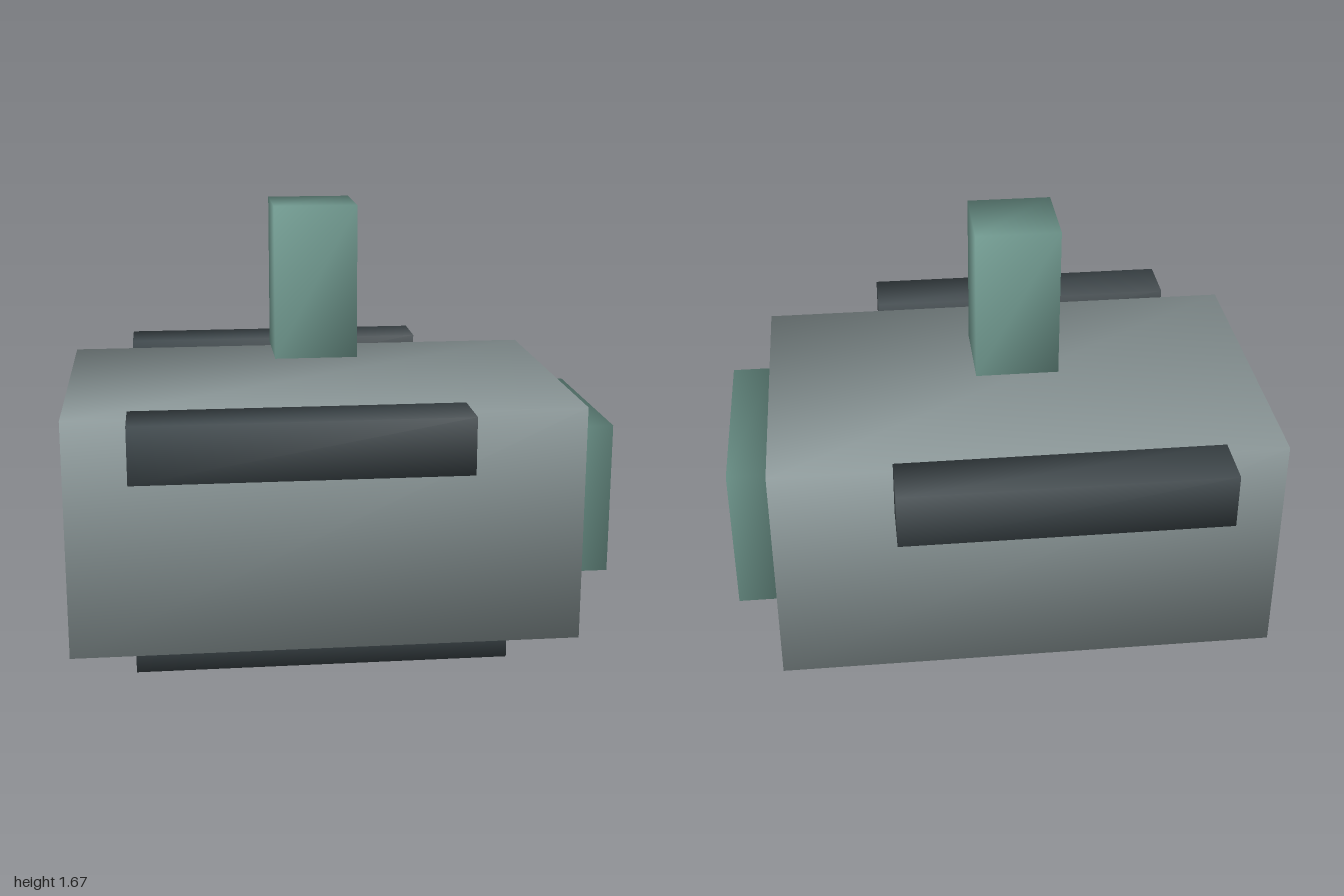
import * as THREE from 'three';
import { mergeVertices } from 'three/addons/utils/BufferGeometryUtils.js';

const shell = new THREE.MeshStandardMaterial({ color: 0x8c9899 });
const dark = new THREE.MeshStandardMaterial({ color: 0x3c4549 });
const green = new THREE.MeshStandardMaterial({ color: 0x76a096 });

// Box given by its extents, with corners shared so the shading is smooth
function block(name, material, [x0, x1], [y0, y1], [z0, z1]) {
  let geometry = new THREE.BoxGeometry(x1 - x0, y1 - y0, z1 - z0);
  geometry.deleteAttribute('uv');
  geometry.deleteAttribute('normal');
  geometry = mergeVertices(geometry);
  geometry.computeVertexNormals();
  const mesh = new THREE.Mesh(geometry, material);
  mesh.name = name;
  mesh.position.set((x0 + x1) / 2, (y0 + y1) / 2, (z0 + z1) / 2);
  return mesh;
}

export function createModel() {
  const model = new THREE.Group();
  model.name = 'blockModel';

  // Main body on its low base
  model.add(block('body', shell, [-1, 0.845], [0.13, 1], [-0.59, 0.59]));
  model.add(block('base', dark, [-0.77, 0.61], [0, 0.13], [-0.437, 0.437]));

  // Long rails on the front and back
  model.add(block('frontRail', dark, [-0.77, 0.407], [0.825, 1.03], [0.59, 0.795]));
  model.add(block('backRail', dark, [-0.77, 0.407], [0.825, 1.03], [-0.795, -0.59]));

  // Raised plate on one end, flush panel on the other
  model.add(block('endPlate', green, [0.845, 1], [0.31, 0.875], [-0.383, 0.383]));
  model.add(block('flushPanel', green, [-1.001, -0.9], [0.36, 0.82], [-0.31, 0.31]));

  // Post floating above the body
  model.add(block('topPost', green, [-0.23, 0.075], [1.105, 1.67], [-0.153, 0.153]));

  return model;
}
